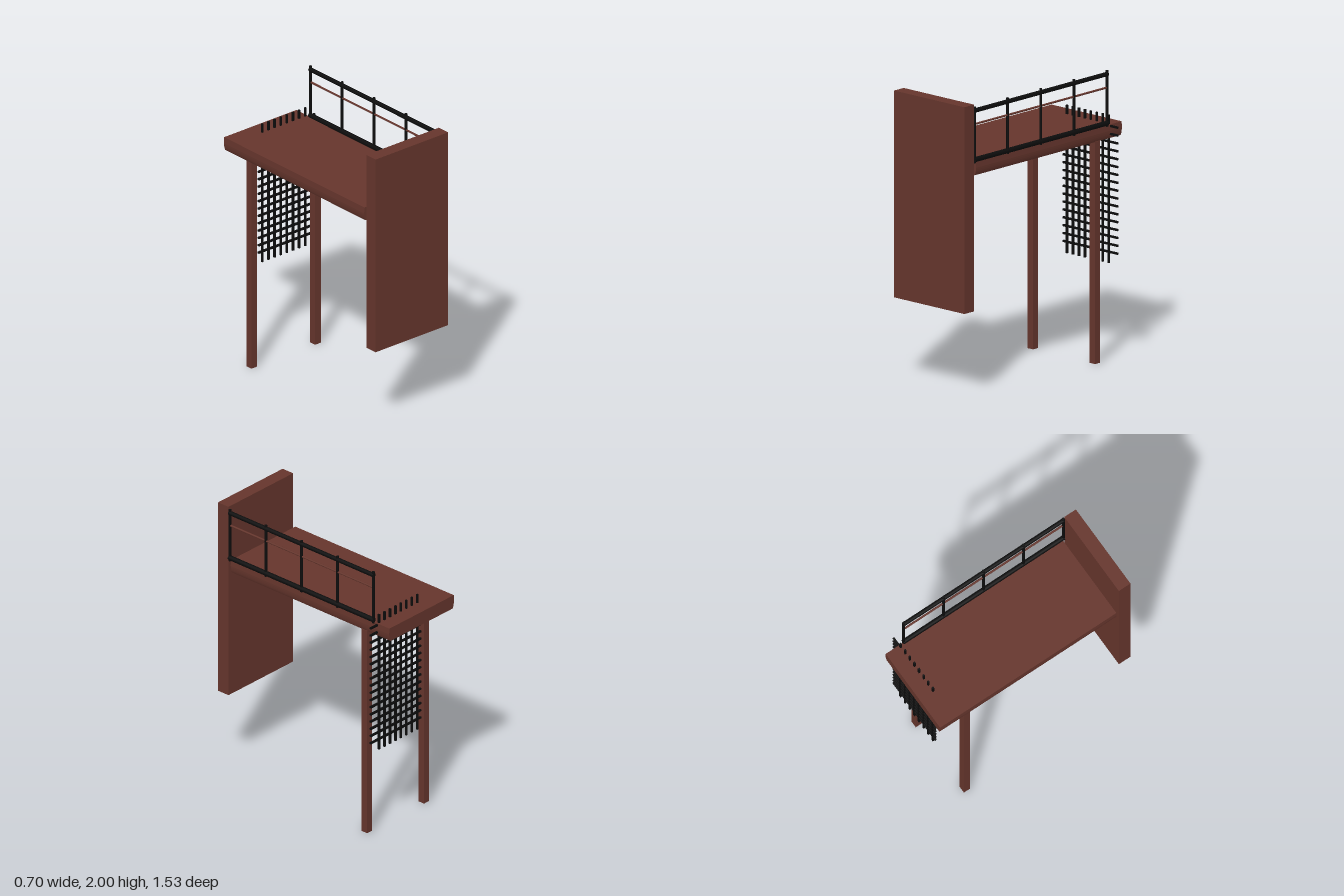
import * as THREE from 'three';

const brown = new THREE.MeshStandardMaterial({ color: 0x65352c });
brown.name = 'brown wood';
const black = new THREE.MeshStandardMaterial({ color: 0x0c0c0c });
black.name = 'black metal';

// Box given by its [min, max] extent on each axis
function box(parent, name, mat, [x0, x1], [y0, y1], [z0, z1]) {
  const mesh = new THREE.Mesh(new THREE.BoxGeometry(x1 - x0, y1 - y0, z1 - z0), mat);
  mesh.position.set((x0 + x1) / 2, (y0 + y1) / 2, (z0 + z1) / 2);
  mesh.name = name;
  parent.add(mesh);
}

// Round bar between two points
function rod(parent, name, mat, from, to, radius) {
  const a = new THREE.Vector3(...from), b = new THREE.Vector3(...to);
  const dir = b.clone().sub(a);
  const mesh = new THREE.Mesh(new THREE.CylinderGeometry(radius, radius, dir.length(), 12), mat);
  mesh.position.copy(a).add(b).multiplyScalar(0.5);
  mesh.quaternion.setFromUnitVectors(new THREE.Vector3(0, 1, 0), dir.normalize());
  mesh.name = name;
  parent.add(mesh);
}

export function createModel() {
  const model = new THREE.Group();
  model.name = 'raised platform';

  // Tall end panel
  box(model, 'endPanel', brown, [-0.35, 0.282], [0.59, 2], [0.67, 0.763]);

  // Platform slab with eased long edges
  const profile = new THREE.Shape();
  profile.moveTo(-0.34, 1.512);
  profile.lineTo(0.27, 1.512);
  profile.quadraticCurveTo(0.28, 1.53, 0.282, 1.565);
  profile.lineTo(0.28, 1.608);
  profile.lineTo(-0.35, 1.608);
  profile.lineTo(-0.352, 1.565);
  profile.quadraticCurveTo(-0.35, 1.53, -0.34, 1.512);
  const slab = new THREE.Mesh(
    new THREE.ExtrudeGeometry(profile, { depth: 1.413, bevelEnabled: false, curveSegments: 5 }), brown);
  slab.position.z = -0.763;
  slab.name = 'platform';
  model.add(slab);

  // Two back legs
  for (const x of [-0.307, 0.25]) {
    box(model, 'leg', brown, [x - 0.025, x + 0.025], [0, 1.515], [-0.56, -0.51]);
  }

  // Railing along one long side
  const railing = new THREE.Group();
  railing.name = 'railing';
  model.add(railing);
  const rx = 0.279;
  rod(railing, 'topRail', black, [rx, 1.957, -0.625], [rx, 1.957, 0.665], 0.015);
  rod(railing, 'middleRail', brown, [rx, 1.865, -0.62], [rx, 1.865, 0.66], 0.007);
  rod(railing, 'bottomRail', black, [rx, 1.622, -0.625], [rx, 1.622, 0.665], 0.017);
  for (let i = 0; i < 5; i++) {
    const z = -0.62 + i * 0.32;
    rod(railing, 'railPost', black, [rx, 1.6, z], [rx, 1.983, z], 0.01);
  }

  // Hanging climbing grid
  const grid = new THREE.Group();
  grid.name = 'climbingGrid';
  model.add(grid);
  const t = 0.0065, gz = [-0.655 - t, -0.655 + t];
  for (let i = 0; i < 8; i++) {
    const x = -0.111 + i * 0.0535;
    box(grid, 'verticalBar', black, [x - t, x + t], [0.66, 1.67], gz);
  }
  for (let i = 0; i < 17; i++) {
    const y = 0.737 + i * 0.0537;
    box(grid, 'crossBar', black, [-0.145, 0.347], [y - t, y + t], gz);
  }
  return model;
}
